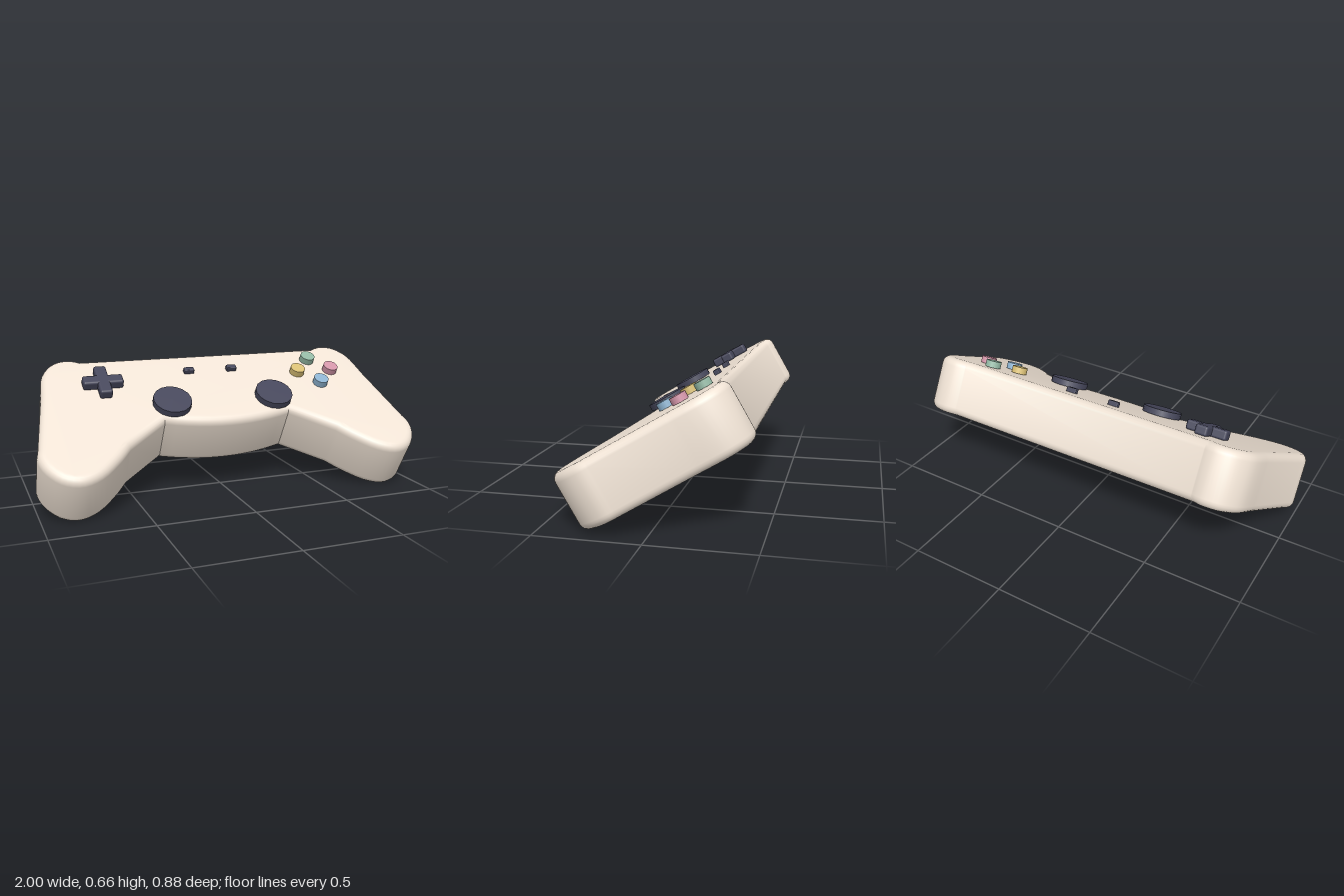
import * as THREE from 'three';
import { RoundedBoxGeometry } from 'three/addons/geometries/RoundedBoxGeometry.js';
import { toCreasedNormals } from 'three/addons/utils/BufferGeometryUtils.js';

const HALF = 0.145;   // half thickness of the body
const BEVEL = 0.04;   // rounding of the body's edges
const FACE = 0.147;   // height at which the controls sit

const spline = (pts, n) =>
  new THREE.SplineCurve(pts.map(p => new THREE.Vector2(...p))).getPoints(n);

// Outline of the body: the +x half, mirrored for the other side
function bodyShape() {
  const shoulder = spline([[0.68, 0.42], [0.71, 0.434], [0.75, 0.442], [0.81, 0.43],
    [0.86, 0.39], [0.9, 0.315], [0.922, 0.17]], 20);
  const grip = spline([[0.99, -0.2], [1, -0.26], [0.975, -0.34], [0.91, -0.415],
    [0.82, -0.442], [0.72, -0.405], [0.62, -0.315], [0.556, -0.24]], 24);
  const belly = new THREE.QuadraticBezierCurve(new THREE.Vector2(0.342, -0.08),
    new THREE.Vector2(0.17, -0.13), new THREE.Vector2(0, -0.13)).getPoints(6);
  const half = [...shoulder, ...grip, ...belly];
  const mirrored = half.slice(0, -1).reverse().map(p => new THREE.Vector2(-p.x, p.y));
  return new THREE.Shape([...half, ...mirrored]);
}

export function createModel() {
  const model = new THREE.Group();
  model.name = 'gamepad';

  // Everything is laid out flat (x across, y up the face, z out of it), then tilted back
  const tilted = new THREE.Group();
  tilted.name = 'tiltedAssembly';
  tilted.rotation.x = -Math.PI / 3;
  tilted.position.y = 0.333;
  model.add(tilted);

  const paint = color => new THREE.MeshStandardMaterial({ color });
  const dark = paint(0x45465a);
  const add = (name, geometry, material, x, y, z, parent = tilted) => {
    const mesh = new THREE.Mesh(geometry, material);
    mesh.name = name;
    mesh.position.set(x, y, z);
    parent.add(mesh);
    return mesh;
  };

  // Body with rounded rims
  const depth = 2 * (HALF - BEVEL);
  const body = new THREE.ExtrudeGeometry(bodyShape(), {
    depth, bevelEnabled: true, bevelThickness: BEVEL, bevelSize: BEVEL,
    bevelOffset: -BEVEL, bevelSegments: 5
  });
  body.translate(0, 0, -depth / 2);
  add('body', toCreasedNormals(body, 0.65), paint(0xefe2d4), 0, 0, 0);

  // Round controls: discs whose axis points out of the face
  const disc = (name, r, h, sides, material, x, y) => {
    const g = new THREE.CylinderGeometry(r, r, h, sides).rotateX(Math.PI / 2);
    add(name, g, material, x, y, FACE + h / 2);
  };

  // Thumbsticks and small centre buttons, mirrored
  for (const [side, s] of [['left', 1], ['right', -1]]) {
    disc(side + 'Thumbstick', 0.1, 0.033, 16, dark, s * 0.283, 0.022);
    add(side + 'CentreButton', new RoundedBoxGeometry(0.055, 0.03, 0.03, 2, 0.005), dark,
      s * 0.122, 0.267, FACE + 0.008);
  }

  // Four coloured buttons in a diamond
  [['top', 0, 0.1, 0x93b8a4], ['left', 0.103, 0, 0xd2a0b0].map((v, i) => (i === 3 ? 0xd294a8 : v)),
    ['bottom', 0, -0.1, 0x8db2cf], ['right', -0.103, 0, 0xd8be74]]
    .forEach(([name, dx, dy, color]) =>
      disc(name + 'FaceButton', 0.041, 0.035, 16, paint(color), 0.601 + dx, 0.202 + dy));

  // Direction pad: two crossed bars
  const pad = new THREE.Group();
  pad.name = 'directionPad';
  pad.position.set(-0.605, 0.204, FACE + 0.021);
  tilted.add(pad);
  add('horizontalBar', new RoundedBoxGeometry(0.208, 0.064, 0.05, 3, 0.012), dark, 0, 0, 0, pad);
  add('verticalBar', new RoundedBoxGeometry(0.064, 0.208, 0.05, 3, 0.012), dark, 0, 0, 0, pad);

  return model;
}
